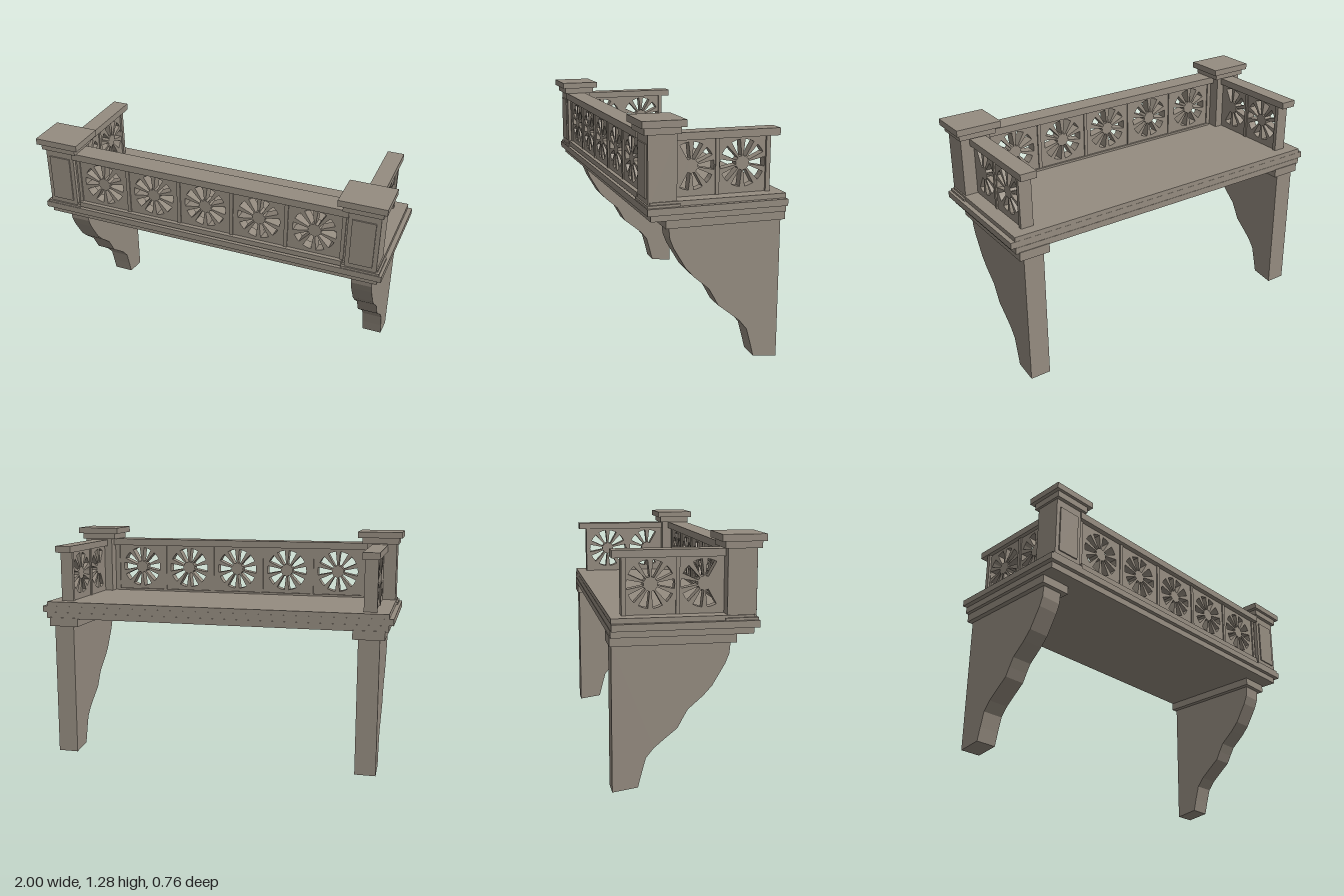
import * as THREE from 'three';

const stone = new THREE.MeshStandardMaterial({ color: 0x958c80 });
stone.name = 'warm grey stone';

// Box given by its min and max on each axis
function box(parent, name, x0, x1, y0, y1, z0, z1) {
  const mesh = new THREE.Mesh(new THREE.BoxGeometry(x1 - x0, y1 - y0, z1 - z0), stone);
  mesh.position.set((x0 + x1) / 2, (y0 + y1) / 2, (z0 + z1) / 2);
  mesh.name = name;
  parent.add(mesh);
  return mesh;
}

// Pierced panel from u0 to u1 with a ten-petal rosette cut at each centre
function piercedPanel(name, u0, u1, y0, y1, centres, depth) {
  const shape = new THREE.Shape([[u0, y0], [u1, y0], [u1, y1], [u0, y1]].map(p => new THREE.Vector2(...p)));
  const half = 0.2, inner = 0.036, outer = 0.12, cy = 1.04;
  for (const c of centres) {
    for (let i = 0; i < 10; i++) {
      const a = i * Math.PI / 5;
      const at = (r, t) => new THREE.Vector2(c + r * Math.cos(t), cy + r * Math.sin(t));
      shape.holes.push(new THREE.Path([
        at(inner, a - half), at(inner, a + half),
        at(outer, a + half), at(outer, a), at(outer, a - half),
      ]));
    }
  }
  const geo = new THREE.ExtrudeGeometry(shape, { depth, bevelEnabled: false });
  geo.translate(0, 0, -depth / 2);
  const mesh = new THREE.Mesh(geo, stone);
  mesh.name = name;
  return mesh;
}

// Scrolled support, drawn in (z, y) and extruded along x
function bracket() {
  const profile = [
    [-0.37, 0], [-0.24, 0.018], [-0.222, 0.09], [-0.2, 0.17], [-0.16, 0.22], [-0.1, 0.27],
    [-0.04, 0.318], [-0.015, 0.365], [0.012, 0.412], [0.09, 0.48], [0.135, 0.53],
    [0.2, 0.64], [0.22, 0.69], [0.226, 0.75], [-0.37, 0.75],
  ];
  const shape = new THREE.Shape(profile.map(([z, y]) => new THREE.Vector2(-z, y)));
  const geo = new THREE.ExtrudeGeometry(shape, { depth: 0.115, bevelEnabled: false });
  geo.rotateY(Math.PI / 2);
  const mesh = new THREE.Mesh(geo, stone);
  mesh.name = 'bracket';
  return mesh;
}

export function createModel() {
  const model = new THREE.Group();
  model.name = 'balcony';

  // Stepped floor slab
  const floor = new THREE.Group();
  floor.name = 'floor';
  model.add(floor);
  box(floor, 'lowerStep', -0.975, 0.975, 0.795, 0.83, -0.378, 0.332);
  box(floor, 'moulding', -1, 1, 0.83, 0.865, -0.376, 0.355);
  box(floor, 'floorSlab', -0.975, 0.975, 0.865, 0.89, -0.375, 0.335);

  // Front balustrade
  const front = new THREE.Group();
  front.name = 'frontBalustrade';
  model.add(front);
  const panel = piercedPanel('frontPanel', -0.8, 0.8, 0.88, 1.18, [-0.62, -0.31, 0, 0.31, 0.62], 0.06);
  panel.position.z = 0.292;
  front.add(panel);
  box(front, 'frontRail', -0.8, 0.8, 1.175, 1.215, 0.235, 0.351);
  box(front, 'frontSill', -0.78, 0.78, 0.872, 0.902, 0.25, 0.345);
  for (let i = 0; i < 6; i++) {
    const x = -0.775 + i * 0.31;
    box(front, 'frontBatten', x - 0.01, x + 0.01, 0.89, 1.178, 0.255, 0.329);
  }

  // Corner posts, side balustrades and supports
  for (const s of [-1, 1]) {
    const side = new THREE.Group();
    side.name = s > 0 ? 'leftSide' : 'rightSide';
    model.add(side);
    const part = (name, a, b, ...rest) => box(side, name, Math.min(s * a, s * b), Math.max(s * a, s * b), ...rest);

    part('postBase', 0.78, 0.985, 0.86, 0.878, 0.185, 0.352);
    part('post', 0.797, 0.968, 0.865, 1.22, 0.197, 0.344);
    part('postPlate', 0.82, 0.945, 0.905, 1.17, 0.34, 0.351);
    part('lowerCap', 0.77, 0.98, 1.215, 1.25, 0.18, 0.365);
    part('upperCap', 0.745, 1, 1.25, 1.285, 0.16, 0.382);

    const sidePanel = piercedPanel('sidePanel', -0.2, 0.295, 0.888, 1.175, [-0.1, 0.17], 0.05);
    // Petals beside the post are closed off by the post itself
    sidePanel.rotation.y = Math.PI / 2;
    sidePanel.position.x = s * 0.87;
    side.add(sidePanel);
    part('sideRail', 0.825, 0.917, 1.172, 1.21, -0.362, 0.22);
    part('sideBatten', 0.838, 0.902, 0.888, 1.175, -0.045, -0.025);
    part('endPost', 0.835, 0.907, 0.888, 1.175, -0.315, -0.292);

    part('bracketCap', 0.785, 0.957, 0.75, 0.8, -0.382, 0.25);
    const support = bracket();
    support.position.x = s * 0.8725 - 0.0575;
    side.add(support);
  }
  return model;
}
